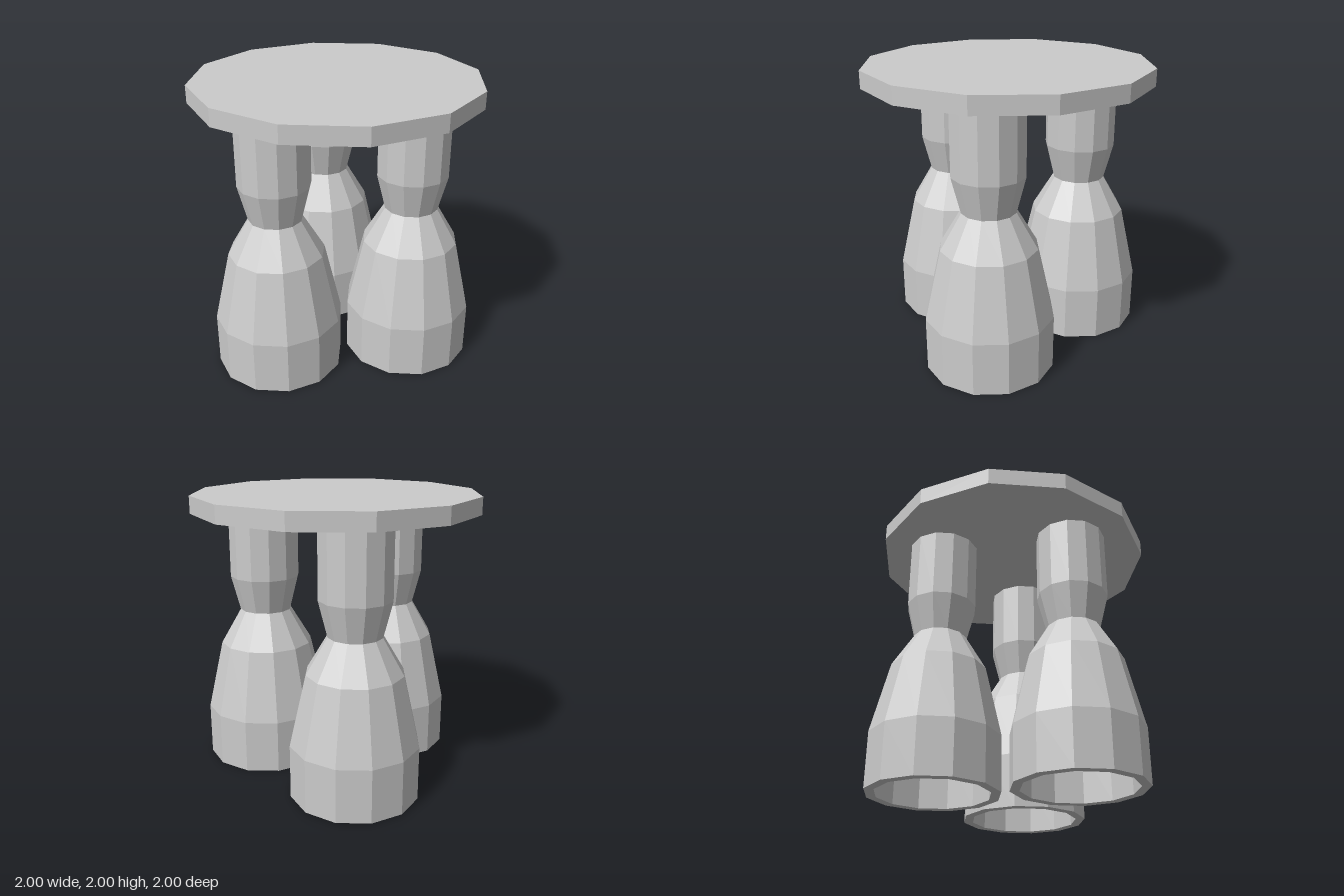
import * as THREE from 'three';

const SIDES = 12;
const TOP_Y = 1.88;
const WALL = 0.065;

// Outer leg profile from floor to tabletop: [radius, height]
const LEG_PROFILE = [
  [0.45, 0], [0.45, 0.38], [0.335, 0.88], [0.187, 1.13], [0.25, 1.38], [0.25, TOP_Y],
];

export function createModel() {
  const model = new THREE.Group();
  model.name = 'stoolTable';
  const material = new THREE.MeshStandardMaterial({ color: 0xcccccc, flatShading: true });

  // Twelve-sided tabletop
  const thickness = 2 - TOP_Y;
  const top = new THREE.Mesh(new THREE.CylinderGeometry(1, 1, thickness, SIDES), material);
  top.name = 'tabletop';
  top.position.y = TOP_Y + thickness / 2;
  model.add(top);

  // Hollow leg: down the inner wall, across the bottom rim, up the outer wall
  const outer = LEG_PROFILE.map(([r, y]) => new THREE.Vector2(r, y));
  const inner = LEG_PROFILE.map(([r, y]) => new THREE.Vector2(r - WALL, y)).reverse();
  const legGeometry = new THREE.LatheGeometry([...inner, ...outer], SIDES);

  // Three legs evenly spaced around the centre, one at the front
  ['frontLeg', 'backLeftLeg', 'backRightLeg'].forEach((name, i) => {
    const angle = (i * Math.PI * 2) / 3;
    const leg = new THREE.Mesh(legGeometry, material);
    leg.name = name;
    leg.position.set(0.55 * Math.sin(angle), 0, 0.55 * Math.cos(angle));
    model.add(leg);
  });

  return model;
}
